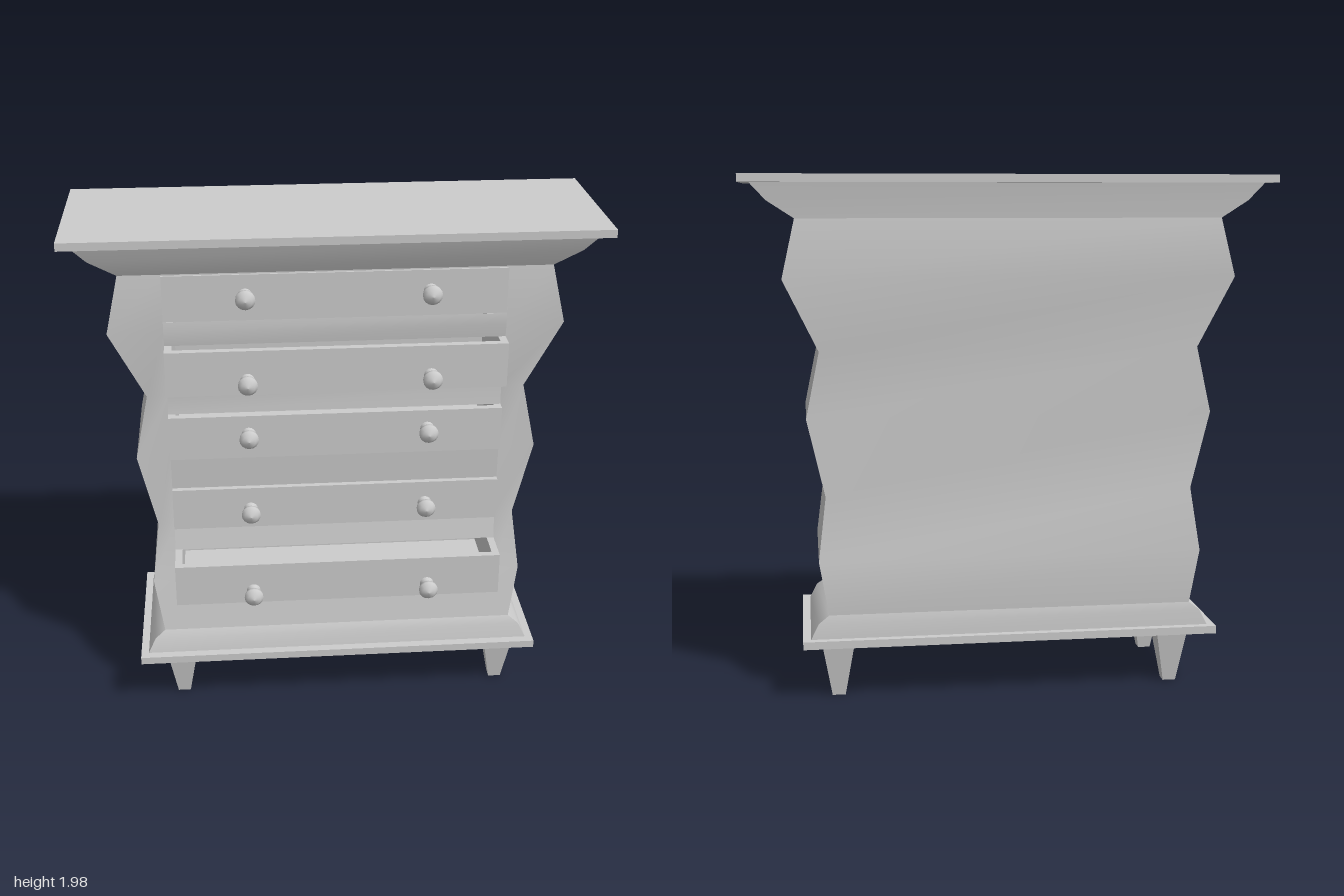
import * as THREE from 'three';

const mat = new THREE.MeshStandardMaterial({ color: 0xcccccc, side: THREE.DoubleSide });
const flat = new THREE.MeshStandardMaterial({ color: 0xcccccc, flatShading: true });

// Rows are [height, half width, front z, back z]
const BODY = [
  [0.33, 0.70, 0.228, -0.34], [0.54, 0.735, 0.197, -0.352], [0.78, 0.705, 0.157, -0.307],
  [1.08, 0.772, 0.173, -0.325], [1.33, 0.72, 0.157, -0.31], [1.60, 0.85, 0.195, -0.35],
  [1.82, 0.80, 0.18, -0.328],
];
const BASE = [[0.24, 0.77, 0.255, -0.35], [0.30, 0.74, 0.243, -0.347], [0.33, 0.70, 0.228, -0.34]];
const CROWN = [[1.82, 0.80, 0.18, -0.328], [1.885, 0.90, 0.215, -0.335], [1.95, 0.96, 0.24, -0.345]];

// Drawers: bottom, top, front z, knob height
const DRAWERS = [
  [0.50, 0.67, 0.317, 0.555], [0.77, 0.94, 0.188, 0.85], [1.08, 1.255, 0.20, 1.18],
  [1.37, 1.545, 0.26, 1.428], [1.64, 1.815, 0.188, 1.735],
];
const LEFT = 0.633, RIGHT = -0.643;

function add(parent, name, geometry, material = mat) {
  const mesh = new THREE.Mesh(geometry, material);
  mesh.name = name;
  parent.add(mesh);
  return mesh;
}

function box(parent, name, x0, x1, y0, y1, z0, z1) {
  const mesh = add(parent, name, new THREE.BoxGeometry(x1 - x0, y1 - y0, z1 - z0));
  mesh.position.set((x0 + x1) / 2, (y0 + y1) / 2, (z0 + z1) / 2);
}

// Smooth strip through pairs of points listed from bottom to top
function strip(parent, name, pairs) {
  const index = [];
  for (let i = 0; i < pairs.length - 1; i++) {
    const a = i * 2;
    index.push(a, a + 1, a + 3, a, a + 3, a + 2);
  }
  const g = new THREE.BufferGeometry();
  g.setAttribute('position', new THREE.Float32BufferAttribute(pairs.flat(2), 3));
  g.setIndex(index);
  g.computeVertexNormals();
  return add(parent, name, g);
}

// Left, right and back walls following a profile
function walls(parent, name, rows) {
  strip(parent, name + 'Left', rows.map(([y, w, f, b]) => [[w, y, f], [w, y, b]]));
  strip(parent, name + 'Right', rows.map(([y, w, f, b]) => [[-w, y, b], [-w, y, f]]));
  strip(parent, name + 'Back', rows.map(([y, w, f, b]) => [[w, y, b], [-w, y, b]]));
}

function frontWall(parent, name, rows) {
  strip(parent, name, rows.map(([y, w, f]) => [[-w, y, f], [w, y, f]]));
}

// Body front depth at a height
function frontZ(y) {
  const i = Math.max(1, BODY.findIndex(r => r[0] >= y));
  const [a, b] = [BODY[i - 1], BODY[i]];
  return a[2] + (b[2] - a[2]) * (y - a[0]) / (b[0] - a[0]);
}

function knobGeometry() {
  const pts = [[0.027, 0], [0.02, 0.012], [0.02, 0.02], [0.036, 0.042], [0.037, 0.055], [0.025, 0.07], [0, 0.078]];
  return new THREE.LatheGeometry(pts.map(p => new THREE.Vector2(...p)), 16).rotateX(Math.PI / 2);
}

// Open tray with a front panel and two knobs
function drawer([y0, y1, z, knobY], knob) {
  const g = new THREE.Group();
  g.name = 'drawer';
  const back = z - 0.42, t = 0.028;
  box(g, 'drawerFront', RIGHT, LEFT, y0, y1, z - t, z);
  box(g, 'drawerBack', RIGHT, LEFT, y0, y1, back, back + t);
  box(g, 'drawerSideRight', RIGHT, RIGHT + t, y0, y1, back + t, z - t);
  box(g, 'drawerSideLeft', LEFT - t, LEFT, y0, y1, back + t, z - t);
  box(g, 'drawerBottom', RIGHT + t, LEFT - t, y0, y0 + 0.02, back + t, z - t);
  for (const x of [-0.34, 0.345]) add(g, 'knob', knob).position.set(x, knobY, z);
  return g;
}

export function createModel() {
  const model = new THREE.Group();
  model.name = 'chestOfDrawers';

  // Flat slabs at top and bottom
  box(model, 'topSlab', -1, 1, 1.95, 1.98, -0.397, 0.283);
  box(model, 'baseSlab', -0.8, 0.8, 0.21, 0.24, -0.38, 0.29);

  // Flared mouldings
  walls(model, 'baseMoulding', BASE);
  frontWall(model, 'baseMouldingFront', BASE);
  walls(model, 'crownMoulding', CROWN);
  frontWall(model, 'crownMouldingFront', CROWN);

  // Wavy body: side walls, front stiles, and rails between the openings
  walls(model, 'body', BODY);
  strip(model, 'stileLeft', BODY.map(([y, w, f]) => [[LEFT, y, f], [w, y, f]]));
  strip(model, 'stileRight', BODY.map(([y, w, f]) => [[-w, y, f], [RIGHT, y, f]]));
  for (let i = 0; i <= DRAWERS.length; i++) {
    const y0 = i ? DRAWERS[i - 1][1] : 0.33;
    const y1 = i < DRAWERS.length ? DRAWERS[i][0] : 1.82;
    const ys = [y0, ...BODY.map(r => r[0]).filter(y => y > y0 && y < y1), y1];
    strip(model, 'rail', ys.map(y => [[RIGHT, y, frontZ(y)], [LEFT, y, frontZ(y)]]));
  }

  // Drawers pulled out by different amounts
  const knob = knobGeometry();
  for (const d of DRAWERS) model.add(drawer(d, knob));

  // Square tapered legs
  const leg = new THREE.CylinderGeometry(0.061 * Math.SQRT2, 0.025 * Math.SQRT2, 0.21, 4).rotateY(Math.PI / 4);
  for (const x of [-0.637, 0.667])
    for (const z of [0.157, -0.27]) add(model, 'leg', leg, flat).position.set(x, 0.105, z);

  return model;
}
